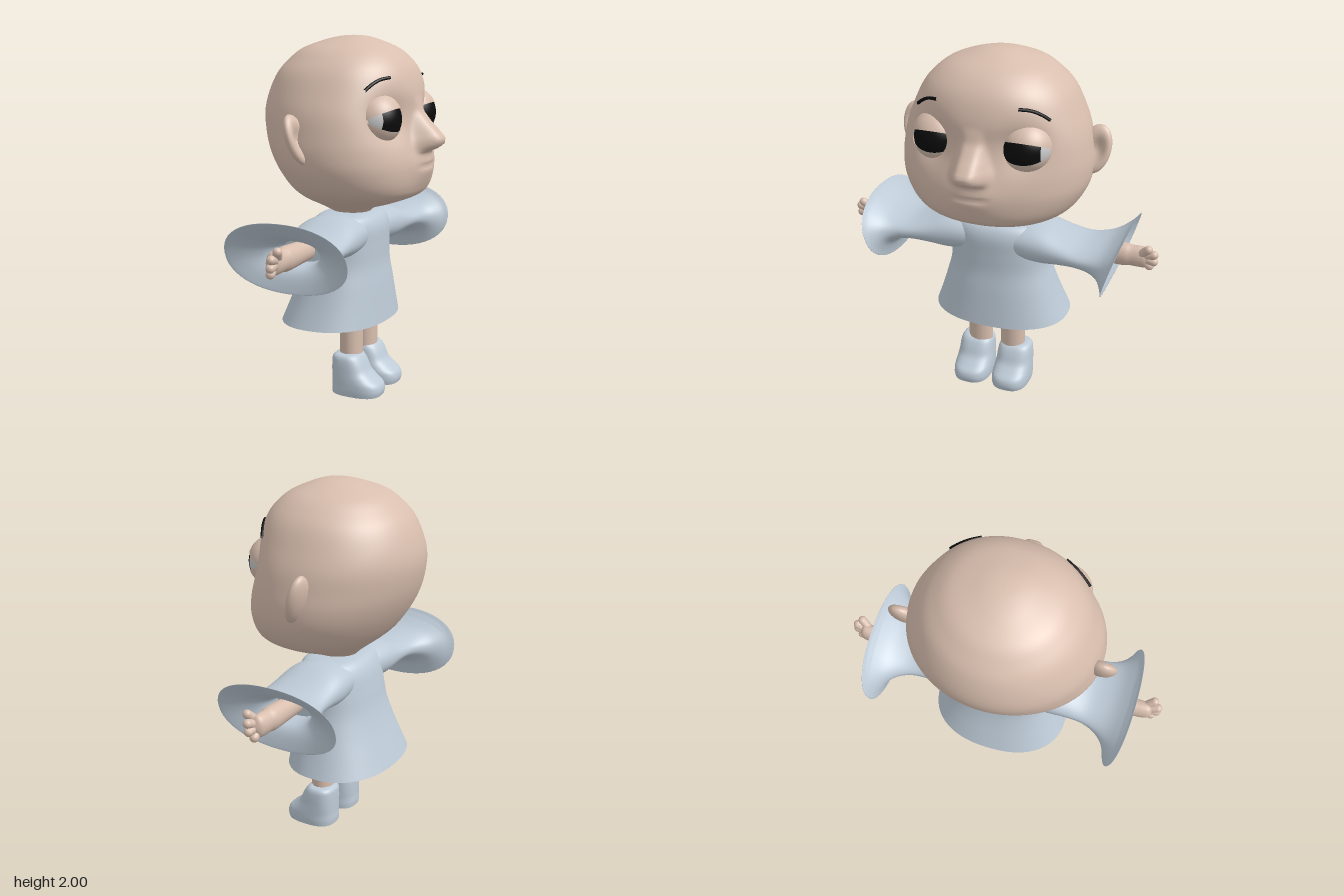
import * as THREE from 'three';

const paint = (color) => new THREE.MeshStandardMaterial({ color, side: THREE.DoubleSide });
const skin = paint(0xd8beae), cloth = paint(0xbdcad6), black = paint(0x0c0c0c), white = paint(0xcccccc);

function mesh(name, geometry, material, parent) {
  const m = new THREE.Mesh(geometry, material);
  m.name = name;
  parent.add(m);
  return m;
}

// Smoothly resample a table of section values, column by column
function resample(rows, n) {
  const columns = rows[0].map((_, c) =>
    new THREE.SplineCurve(rows.map((r, i) => new THREE.Vector2(i, r[c]))));
  return Array.from({ length: n + 1 }, (_, i) => columns.map((s) => s.getPoint(i / n).y));
}

// Skin rings of points; point(row, angle) returns [x, y, z]; rings run along +y
function loft(rows, segments, point, capStart = false, capEnd = false) {
  const pos = [], index = [];
  for (const row of rows)
    for (let j = 0; j < segments; j++) pos.push(...point(row, (j / segments) * Math.PI * 2));
  for (let i = 0; i < rows.length - 1; i++)
    for (let j = 0; j < segments; j++) {
      const k = (j + 1) % segments, a = i * segments + j, b = i * segments + k;
      index.push(a, a + segments, b, b, a + segments, b + segments);
    }
  // Caps get their own vertices so the edge stays sharp
  const cap = (i, flip) => {
    const base = pos.length / 3;
    pos.push(...pos.slice(i * segments * 3, (i + 1) * segments * 3));
    for (let j = 1; j < segments - 1; j++)
      index.push(base, base + j + (flip ? 1 : 0), base + j + (flip ? 0 : 1));
  };
  if (capStart) cap(0, false);
  if (capEnd) cap(rows.length - 1, true);
  const g = new THREE.BufferGeometry();
  g.setAttribute('position', new THREE.Float32BufferAttribute(pos, 3));
  g.setIndex(index);
  g.computeVertexNormals();
  return g;
}

const power = (v, p) => Math.sign(v) * Math.abs(v) ** (2 / p);
const gauss = (v, s) => Math.exp(-((v / s) ** 2));
const flatTop = (v, s) => Math.exp(-((v / s) ** 4));

// Head sections: height, back x, widest x, front x, half width
const headRows = resample([
  [1.0, -0.12, -0.03, 0.05, 0.05], [1.05, -0.17, -0.03, 0.09, 0.16], [1.09, -0.22, -0.02, 0.22, 0.26],
  [1.14, -0.285, -0.01, 0.345, 0.385], [1.2, -0.35, -0.01, 0.385, 0.46], [1.3, -0.42, -0.02, 0.395, 0.515],
  [1.4, -0.47, -0.03, 0.385, 0.53], [1.5, -0.5, -0.03, 0.37, 0.52], [1.6, -0.51, -0.04, 0.36, 0.5],
  [1.7, -0.49, -0.05, 0.355, 0.46], [1.8, -0.445, -0.05, 0.325, 0.41], [1.87, -0.385, -0.04, 0.28, 0.35],
  [1.93, -0.31, -0.04, 0.21, 0.27], [1.975, -0.19, -0.03, 0.11, 0.15], [1.995, -0.1, -0.03, 0.04, 0.07],
  [2.0, -0.03, -0.03, -0.03, 0],
], 100);

const noseProfile = [[1.36, 0], [1.385, 0.015], [1.405, 0.07], [1.43, 0.11], [1.46, 0.125], [1.5, 0.1],
  [1.54, 0.065], [1.6, 0.02], [1.68, 0]];

// Nose, muzzle, mouth crease and eye sockets as offsets of the face
function faceRelief(y, z) {
  let nose = 0;
  for (let i = 0; i < noseProfile.length - 1; i++) {
    const [y0, d0] = noseProfile[i], [y1, d1] = noseProfile[i + 1];
    if (y >= y0 && y < y1) nose = THREE.MathUtils.lerp(d0, d1, (y - y0) / (y1 - y0));
  }
  const noseWidth = THREE.MathUtils.clamp(0.09 - (y - 1.44) * 0.2, 0.055, 0.09);
  return nose * flatTop(z, noseWidth)
    + 0.035 * gauss(y - 1.32, 0.1) * gauss(z, 0.14)
    - 0.014 * gauss(y - 1.31, 0.013) * flatTop(z, 0.1)
    - 0.05 * gauss(Math.hypot(Math.abs(z) - 0.245, y - 1.57), 0.12);
}

const FRONT = 2.2;
function headPoint([y, back, mid, front, half], angle) {
  const a = angle - 0.5 * Math.sin(angle), c = Math.cos(a), s = Math.sin(a);
  const p = c > 0 ? FRONT : 2, z = half * power(s, p);
  if (c <= 0) return [mid + (mid - back) * c, y, z];
  return [mid + (front - mid) * power(c, p) + faceRelief(y, z) * Math.min(1, c * 4), y, z];
}

// Surface x of the face at a given height and side offset
function faceX(y, z) {
  const [, , mid, front, half] = headRows.reduce((p, q) => (Math.abs(q[0] - y) < Math.abs(p[0] - y) ? q : p));
  return mid + (front - mid) * (1 - Math.abs(z / half) ** FRONT) ** (1 / FRONT) + faceRelief(y, z);
}

// Part of a ball with its poles on the z axis; angles measured up from +x
function ballPatch(r, from, to, t0 = 0, t1 = Math.PI) {
  return new THREE.SphereGeometry(r, 40, 24, Math.PI + from, to - from, t0, t1 - t0).rotateX(Math.PI / 2);
}

function addEye(parent) {
  const eye = new THREE.Group();
  eye.name = 'eye';
  eye.position.set(0.215, 1.57, 0.245);
  mesh('eyeball', ballPatch(0.136, 0, Math.PI * 2), white, eye);
  mesh('pupil', ballPatch(0.138, -0.46, 0.46, 0.72, 2.38), black, eye);
  mesh('eyelids', ballPatch(0.142, 0.43, Math.PI * 2 - 0.46), skin, eye);
  parent.add(eye);
}

function addBrow(parent) {
  const path = new THREE.CatmullRomCurve3([[1.722, 0.365], [1.75, 0.33], [1.775, 0.28], [1.785, 0.22]]
    .map(([y, z]) => new THREE.Vector3(faceX(y, z) + 0.004, y, z)));
  mesh('eyebrow', new THREE.TubeGeometry(path, 20, 0.009, 8), black, parent);
}

// Ear: a flattened ball, hollowed on its front
function addEar(parent) {
  const g = new THREE.SphereGeometry(1, 32, 24), p = g.attributes.position;
  for (let i = 0; i < p.count; i++) {
    const x = p.getX(i), y = p.getY(i), z = p.getZ(i);
    const dent = x > 0 ? 1.1 * gauss(Math.hypot(y, z - 0.1), 0.55) : 0;
    p.setXYZ(i, (x - dent) * 0.05 - y * 0.035, y * 0.13, z * 0.085 + y * 0.015);
  }
  g.computeVertexNormals();
  mesh('ear', g, skin, parent).position.set(-0.1, 1.475, 0.525);
}

// Sleeve sections: z, centre x, half depth, centre y, half height, tilt; flares out, then folds back inside
function addSleeve(parent) {
  const rows = resample([
    [0, -0.05, 0.15, 0.92, 0.09, 0], [0.16, -0.05, 0.18, 0.92, 0.11, 0], [0.28, -0.05, 0.19, 0.915, 0.113, 0],
    [0.4, -0.045, 0.19, 0.905, 0.085, 0], [0.5, -0.045, 0.195, 0.897, 0.07, 0.05],
    [0.58, -0.055, 0.215, 0.892, 0.082, 0.15], [0.64, -0.065, 0.255, 0.888, 0.11, 0.23],
    [0.685, -0.075, 0.315, 0.885, 0.16, 0.3], [0.704, -0.08, 0.355, 0.885, 0.195, 0.3],
    [0.698, -0.08, 0.335, 0.885, 0.18, 0.3], [0.65, -0.08, 0.235, 0.886, 0.11, 0.25],
    [0.59, -0.08, 0.145, 0.888, 0.072, 0.12], [0.5, -0.08, 0.12, 0.89, 0.058, 0],
  ], 48);
  const g = loft(rows, 48, ([z, cx, hx, cy, hy, tilt], a) => {
    const up = -hy * power(Math.sin(a), 2.2);
    return [cx + hx * power(Math.cos(a), 2.2), z + tilt * up, -(cy + up)];
  }, false, true).rotateX(Math.PI / 2);
  mesh('sleeve', g, cloth, parent);
}

function addHand(parent) {
  const rows = resample([[0.48, 0.052, 0.055], [0.6, 0.055, 0.06], [0.72, 0.057, 0.066], [0.765, 0.05, 0.06],
    [0.81, 0.046, 0.062], [0.85, 0.036, 0.055], [0.87, 0.004, 0.006]], 24);
  const g = loft(rows, 24, ([z, hx, hy], a) => [-0.065 + hx * Math.cos(a), z, -0.897 + hy * Math.sin(a)]);
  mesh('forearm', g.rotateX(Math.PI / 2), skin, parent);
  const palm = new THREE.Vector3(-0.06, 0.9, 0.8);
  for (const tip of [[-0.025, 0.965, 0.865], [-0.045, 0.928, 0.893], [-0.05, 0.885, 0.893], [-0.065, 0.848, 0.868]]) {
    const end = new THREE.Vector3(...tip), dir = end.clone().sub(palm);
    const finger = mesh('finger', new THREE.CapsuleGeometry(0.024, dir.length(), 8, 14), skin, parent);
    finger.position.copy(palm).addScaledVector(dir, 0.5);
    finger.quaternion.setFromUnitVectors(new THREE.Vector3(0, 1, 0), dir.normalize());
  }
}

function addLeg(parent) {
  const leg = mesh('leg', new THREE.CylinderGeometry(0.063, 0.063, 0.28, 28), skin, parent);
  leg.position.set(0.003, 0.31, 0.101);
  leg.scale.z = 1.15;
  // Shoe sections: height, heel x, toe x, half width
  const rows = resample([[0, -0.09, 0.2, 0.107], [0.03, -0.092, 0.207, 0.11], [0.065, -0.09, 0.197, 0.109],
    [0.095, -0.09, 0.16, 0.107], [0.13, -0.09, 0.122, 0.104], [0.18, -0.089, 0.098, 0.1],
    [0.215, -0.084, 0.076, 0.092], [0.23, -0.06, 0.05, 0.07], [0.231, -0.01, 0.01, 0.01]], 32);
  mesh('shoe', loft(rows, 40, ([y, heel, toe, half], a) => [
    (heel + toe) / 2 + ((toe - heel) / 2) * power(Math.cos(a), 2.7), y, 0.12 + half * power(Math.sin(a), 2.7),
  ], true), cloth, parent);
}

export function createModel() {
  const model = new THREE.Group();
  model.name = 'bigHeadedFigure';
  mesh('head', loft(headRows, 180, headPoint, true), skin, model);

  // Dress sections: height, centre x, half depth, half width
  const dressRows = resample([[0.415, -0.11, 0.3, 0.4], [0.52, -0.095, 0.273, 0.36], [0.63, -0.08, 0.245, 0.323],
    [0.74, -0.07, 0.22, 0.292], [0.85, -0.06, 0.208, 0.285], [0.95, -0.05, 0.195, 0.275],
    [1.01, -0.045, 0.16, 0.25], [1.03, -0.04, 0.1, 0.15], [1.035, -0.04, 0.03, 0.04]], 36);
  mesh('dress', loft(dressRows, 56, ([y, cx, hx, hz], a) => [
    cx + hx * power(Math.cos(a), 2.3), y, hz * power(Math.sin(a), 2.3)], true), cloth, model);

  // The figure faces +x, so its two halves mirror across z
  for (const side of [1, -1]) {
    const half = new THREE.Group();
    half.name = side > 0 ? 'rightHalf' : 'leftHalf';
    half.scale.z = side;
    for (const add of [addEye, addBrow, addEar, addSleeve, addHand, addLeg]) add(half);
    model.add(half);
  }
  return model;
}
